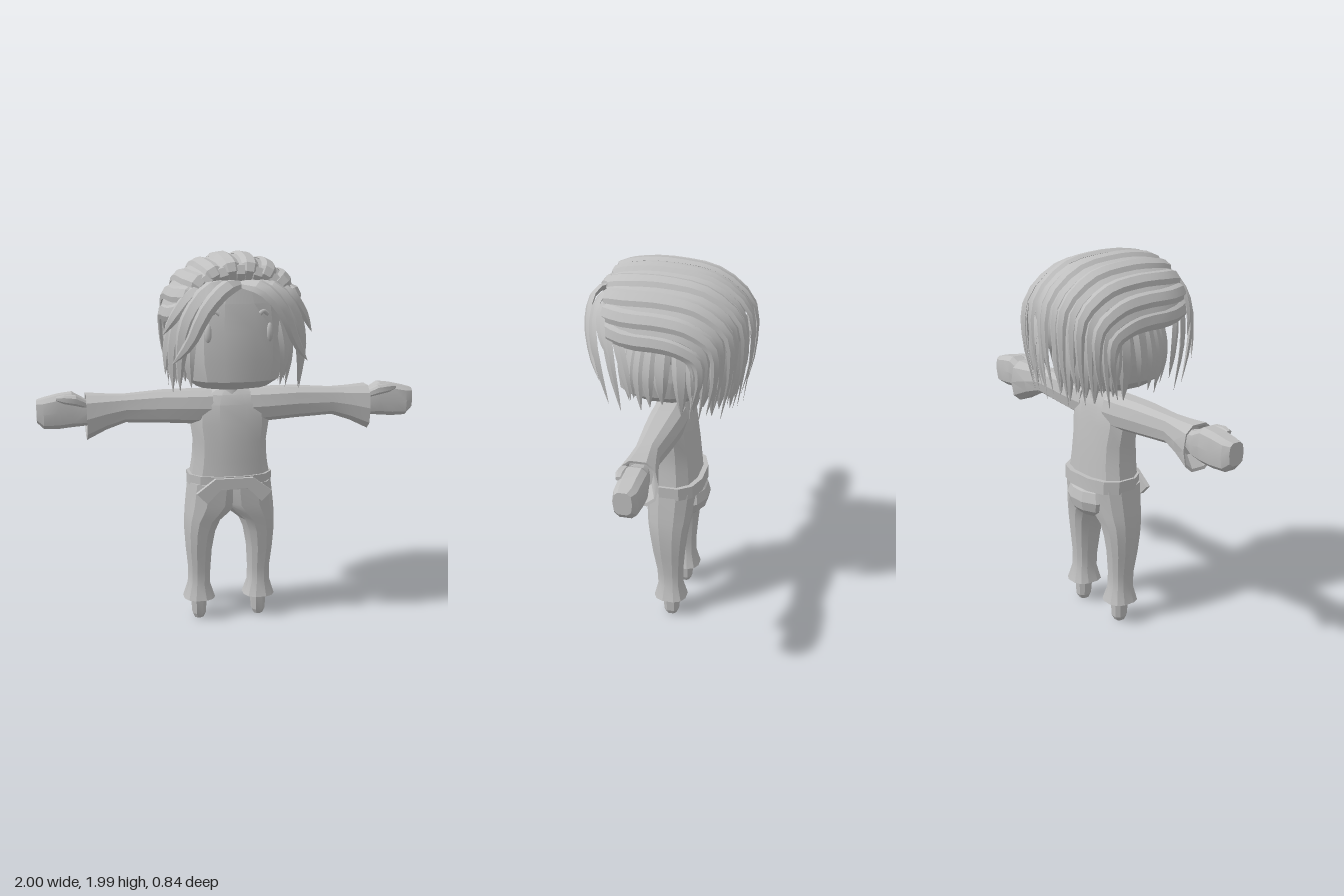
import * as THREE from 'three';
import { toCreasedNormals } from 'three/addons/utils/BufferGeometryUtils.js';

const V = (x, y, z) => new THREE.Vector3(x, y, z);
const grey = new THREE.MeshStandardMaterial({ color: 0xbfbfbf });
grey.name = 'grey';

// Joins closed rings of points into a capped solid, facing outwards.
function loft(rings, crease = 0.35) {
  const n = rings[0].length, pos = [], idx = [];
  rings.forEach(r => r.forEach(p => pos.push(p.x, p.y, p.z)));
  for (let i = 0; i < rings.length - 1; i++) {
    for (let j = 0; j < n; j++) {
      const a = i * n + j, b = i * n + (j + 1) % n;
      idx.push(a, b, b + n, a, b + n, a + n);
    }
  }
  [0, rings.length - 1].forEach(k => {
    const c = rings[k].reduce((s, p) => s.add(p), V(0, 0, 0)).divideScalar(n);
    const m = pos.length / 3;
    pos.push(c.x, c.y, c.z);
    for (let j = 0; j < n; j++) {
      const a = k * n + j, b = k * n + (j + 1) % n;
      if (k) idx.push(a, b, m); else idx.push(b, a, m);
    }
  });
  // Flip the winding if the signed volume is negative
  const at = i => V(pos[3 * i], pos[3 * i + 1], pos[3 * i + 2]);
  const o = at(0);
  let vol = 0;
  for (let i = 0; i < idx.length; i += 3) {
    vol += at(idx[i]).sub(o).dot(at(idx[i + 1]).sub(o).cross(at(idx[i + 2]).sub(o)));
  }
  if (vol < 0) idx.reverse();
  const g = new THREE.BufferGeometry();
  g.setAttribute('position', new THREE.Float32BufferAttribute(pos, 3));
  g.setIndex(idx);
  return toCreasedNormals(g, crease);
}

const bulge = (v, e) => Math.sign(v) * Math.abs(v) ** e;

// Rounded-box outline as pairs of coordinates between a0..a1 and b0..b1.
function outline(a0, a1, b0, b1, n, e) {
  return Array.from({ length: n }, (_, i) => {
    const t = (i + 0.5) / n * Math.PI * 2;
    return [(a0 + a1) / 2 + (a1 - a0) / 2 * bulge(Math.cos(t), e),
      (b0 + b1) / 2 + (b1 - b0) / 2 * bulge(Math.sin(t), e)];
  });
}
// Rows are [y, x0, x1, zBack, zFront] or [x, y0, y1, zBack, zFront]
const loftY = (rows, n = 12, e = 0.8, crease) =>
  loft(rows.map(([y, ...r]) => outline(...r, n, e).map(([x, z]) => V(x, y, z))), crease);
const loftX = (rows, n = 10, e = 0.75) =>
  loft(rows.map(([x, ...r]) => outline(...r, n, e).map(([y, z]) => V(x, y, z))));

// A pointed, lens-shaped lock of hair following a path around the head.
const skull = V(0, 1.6, -0.05);
function lock(points, width, thick = 0.018, steps = 12) {
  const curve = new THREE.CatmullRomCurve3(points);
  const rings = [];
  for (let i = 0; i <= steps; i++) {
    const u = i / steps, p = curve.getPoint(u), t = curve.getTangent(u);
    const side = t.clone().cross(p.clone().sub(skull)).normalize();
    const out = side.clone().cross(t).normalize();
    const k = Math.min(1, 0.55 + 2.5 * u) * Math.max(0.03, 1 - u ** 4);
    const w = width / 2 * k, h = thick * k;
    rings.push([[w, 0], [w * 0.5, h], [-w * 0.5, h], [-w, 0], [0, -h * 0.6]]
      .map(([s, d]) => p.clone().addScaledVector(side, s).addScaledVector(out, d)));
  }
  return loft(rings, 0.45);
}

export function createModel() {
  const model = new THREE.Group();
  const add = (geometry, name, parent = model) => {
    const mesh = new THREE.Mesh(geometry, grey);
    mesh.name = name;
    parent.add(mesh);
    return mesh;
  };
  const sides = [[1, 'left'], [-1, 'right']];

  // Head: flat broad face with a shallow underside
  add(loftY([
    [1.28, -0.08, 0.08, -0.1, 0.08], [1.305, -0.19, 0.19, -0.16, 0.2],
    [1.35, -0.245, 0.245, -0.2, 0.27], [1.45, -0.272, 0.272, -0.24, 0.28],
    [1.6, -0.272, 0.272, -0.26, 0.28], [1.74, -0.25, 0.25, -0.26, 0.27],
    [1.83, -0.2, 0.2, -0.22, 0.25], [1.88, -0.1, 0.1, -0.12, 0.16]], 16, 0.75), 'head');
  add(new THREE.CylinderGeometry(0.065, 0.085, 0.1, 10), 'neck').position.set(0, 1.28, -0.01);

  // Torso, belt and knotted belt front
  add(loftY([
    [0.77, -0.222, 0.222, -0.155, 0.12], [0.9, -0.2, 0.2, -0.145, 0.12],
    [1.0, -0.195, 0.195, -0.135, 0.118], [1.1, -0.21, 0.21, -0.12, 0.11],
    [1.2, -0.2, 0.2, -0.105, 0.095], [1.25, -0.16, 0.16, -0.085, 0.075],
    [1.285, -0.075, 0.075, -0.065, 0.05]]), 'torso');
  add(loftY([[0.755, -0.226, 0.226, -0.18, 0.128], [0.825, -0.228, 0.228, -0.178, 0.132]]), 'belt');
  const knot = new THREE.Shape([[-0.2, 0.745], [-0.145, 0.69], [-0.07, 0.765], [0.07, 0.765],
    [0.145, 0.69], [0.2, 0.745], [0.1, 0.82], [-0.1, 0.82]].map(p => new THREE.Vector2(...p)));
  add(new THREE.ExtrudeGeometry(knot, { depth: 0.025, bevelEnabled: false }), 'beltKnot')
    .position.z = 0.122;

  // Seat of the trousers
  const seat = add(toCreasedNormals(new THREE.SphereGeometry(1, 10, 6), 0.3), 'seat');
  seat.scale.set(0.16, 0.105, 0.1);
  seat.position.set(0, 0.69, -0.1);

  for (const [s, label] of sides) {
    const half = new THREE.Group();
    half.name = label + 'Limbs';
    model.add(half);
    const span = (a, b) => s > 0 ? [a, b] : [-b, -a];

    // Sleeve with a drooping flared cuff, hollow at the end
    add(loftX([
      [0.1, 1.09, 1.275, -0.1, 0.085], [0.2, 1.095, 1.275, -0.1, 0.085],
      [0.35, 1.105, 1.275, -0.09, 0.075], [0.55, 1.115, 1.262, -0.065, 0.06],
      [0.65, 1.08, 1.265, -0.085, 0.07], [0.75, 1.03, 1.272, -0.11, 0.085],
      [0.747, 1.045, 1.26, -0.1, 0.075], [0.69, 1.1, 1.24, -0.07, 0.055]]
      .map(([x, ...r]) => [x * s, ...r])), label + 'Sleeve', half);
    // Mitten hand and thumb
    add(loftX([
      [0.68, 1.14, 1.22, -0.05, 0.04], [0.75, 1.105, 1.24, -0.07, 0.045],
      [0.82, 1.098, 1.28, -0.085, 0.045], [0.89, 1.092, 1.272, -0.082, 0.048],
      [0.965, 1.095, 1.255, -0.075, 0.048], [1.0, 1.13, 1.245, -0.055, 0.035]]
      .map(([x, ...r]) => [x * s, ...r]), 10, 0.65), label + 'Hand', half);
    add(loftX([
      [0.75, 1.2, 1.24, 0.0, 0.045], [0.8, 1.215, 1.27, 0.01, 0.062],
      [0.86, 1.228, 1.275, 0.015, 0.062], [0.9, 1.245, 1.265, 0.02, 0.05]]
      .map(([x, ...r]) => [x * s, ...r]), 8), label + 'Thumb', half);

    // Trouser leg, flared at the ankle
    add(loftY([
      [0.12, 0.078, 0.25, -0.115, 0.065], [0.2, 0.105, 0.225, -0.092, 0.045],
      [0.28, 0.105, 0.222, -0.09, 0.05], [0.4, 0.098, 0.235, -0.1, 0.072],
      [0.5, 0.08, 0.242, -0.112, 0.088], [0.57, 0.05, 0.242, -0.122, 0.1],
      [0.61, 0.0, 0.24, -0.132, 0.108], [0.66, -0.05, 0.236, -0.14, 0.114],
      [0.78, -0.06, 0.222, -0.155, 0.12]]
      .map(([y, a, b, ...z]) => [y, ...span(a, b), ...z])), label + 'TrouserLeg', half);
    add(loftY([
      [0, 0.14, 0.19, -0.055, 0.0], [0.025, 0.128, 0.202, -0.07, 0.012],
      [0.14, 0.12, 0.21, -0.078, 0.022]]
      .map(([y, a, b, ...z]) => [y, ...span(a, b), ...z]), 8), label + 'Foot', half);

    // Eye and brow
    const eye = add(new THREE.SphereGeometry(1, 10, 8), label + 'Eye');
    eye.scale.set(0.021, 0.05, 0.018);
    eye.position.set(0.155 * s, 1.595, 0.245);
    eye.rotation.y = 0.4 * s;
    const brow = new THREE.CatmullRomCurve3([V(0.1 * s, 1.69, 0.265), V(0.12 * s, 1.703, 0.26),
      V(0.145 * s, 1.685, 0.25)]);
    add(new THREE.TubeGeometry(brow, 6, 0.011, 5), label + 'Brow');
  }

  // Hair: an inner cap covered by overlapping locks
  const hair = new THREE.Group();
  hair.name = 'hair';
  model.add(hair);
  const cap = add(new THREE.SphereGeometry(1, 20, 14), 'hairCap', hair);
  cap.scale.set(0.305, 0.275, 0.28);
  cap.position.set(0, 1.67, -0.085);

  // Locks swept from the front hairline over the crown and down the back
  const count = 21;
  for (let i = 0; i < count; i++) {
    const f = (i / (count - 1) - 0.5) * Math.PI * 1.08;
    const S = Math.sin(f), C = Math.max(0, Math.cos(f));
    const lift = i % 2 ? 0.012 : -0.004;
    const zb = -0.17 - 0.215 * C;
    const tip = 1.3 + 0.035 * Math.sin(i * 2.4);
    add(lock([
      V(0.2 * S, 1.71 + 0.125 * C, 0.26),
      V((0.265 + lift) * S, 1.71 + (0.2 + lift) * C, 0.29),
      V((0.322 + lift) * S, 1.68 + (0.27 + lift) * C, 0.17),
      V((0.33 + lift) * S, 1.67 + (0.285 + lift) * C, -0.02),
      V((0.33 + lift) * S, 1.65 + (0.265 + lift) * C, zb * 0.6),
      V((0.32 + lift) * S, 1.6 + 0.18 * C, zb - lift),
      V((0.315 + lift) * S, 1.5 + 0.05 * C, zb - 0.015 - lift),
      V(0.3 * S, tip, zb + 0.02)], 0.088, 0.017, 18), 'crownLock', hair);
  }

  for (const [s, label] of sides) {
    // Hanging locks around the sides and back
    for (let i = 0; i < 13; i++) {
      const a = (42 + i * 11) * Math.PI / 180;
      const x = 0.3 * s * bulge(Math.sin(a), 0.6), z = 0.29 * bulge(Math.cos(a), 0.75);
      const at = (k, y) => V(x * k, y, -0.05 + z * k);
      add(lock([at(0.88, 1.7), at(1, 1.58), at(1.04, 1.47), at(0.97, 1.315 + 0.03 * Math.sin(i * 2.1))],
        0.095, 0.018, 8), label + 'HangingLock', hair);
    }
    // Parted fringe
    [
      [0.085, [0, 1.84, 0.28], [0.09, 1.825, 0.37], [0.19, 1.72, 0.385], [0.265, 1.56, 0.35], [0.34, 1.455, 0.29]],
      [0.095, [0.04, 1.845, 0.27], [0.17, 1.81, 0.335], [0.27, 1.67, 0.335], [0.3, 1.5, 0.3], [0.3, 1.32, 0.26]],
      [0.085, [0.1, 1.83, 0.26], [0.23, 1.8, 0.295], [0.315, 1.7, 0.28], [0.378, 1.59, 0.225]],
      [0.1, [0.14, 1.81, 0.25], [0.265, 1.72, 0.265], [0.325, 1.55, 0.235], [0.325, 1.3, 0.19]],
      [0.09, [0.17, 1.77, 0.24], [0.29, 1.68, 0.21], [0.345, 1.52, 0.16], [0.355, 1.38, 0.13]],
    ].forEach(([w, ...pts]) =>
      add(lock(pts.map(([x, y, z]) => V(x * s, y, z)), w, 0.018, 10), label + 'FringeLock', hair));
  }
  return model;
}
